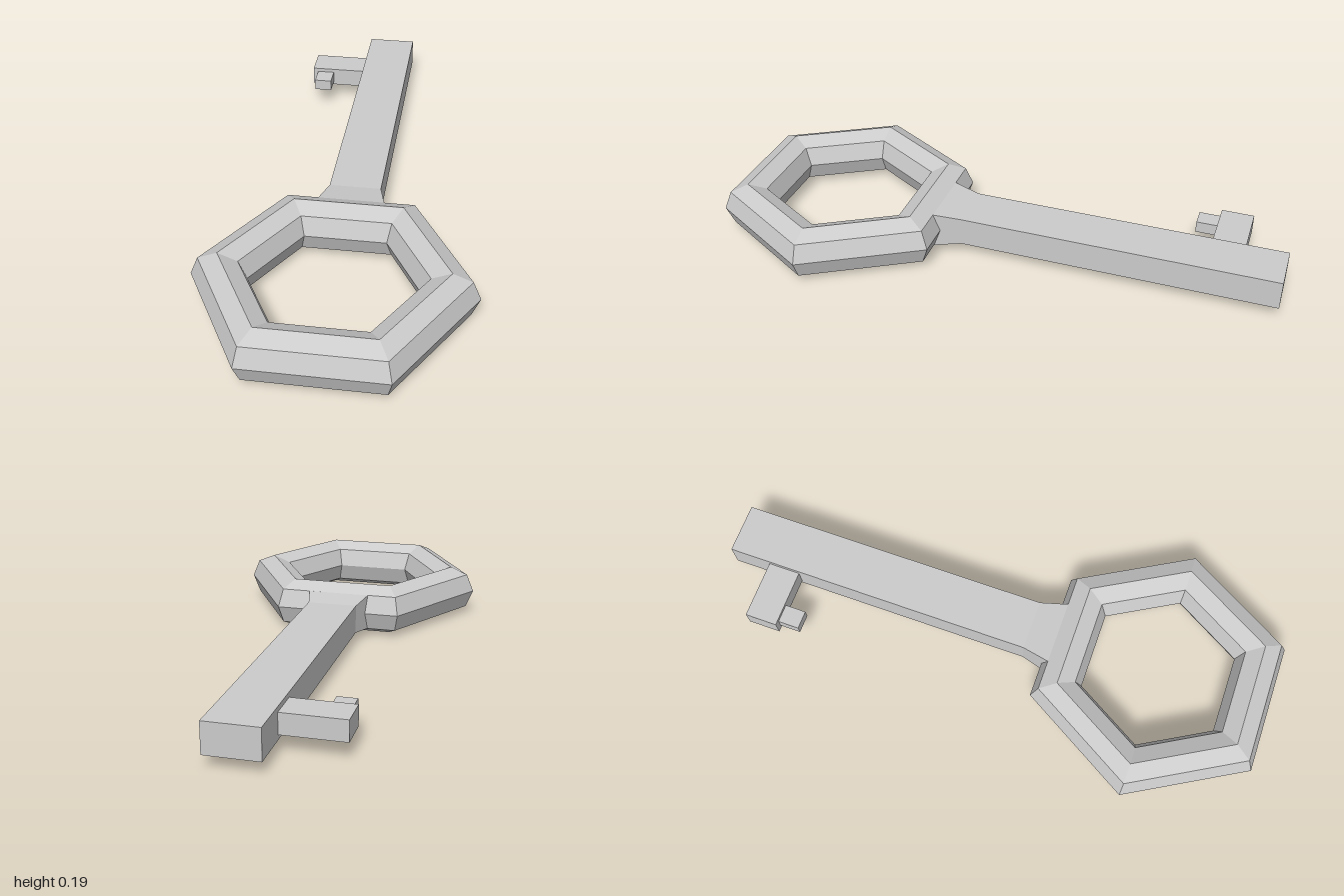
import * as THREE from 'three';

export function createModel() {
  const key = new THREE.Group();
  key.name = 'key';
  const material = new THREE.MeshStandardMaterial({ color: 0xcccccc, flatShading: true });
  const midY = 0.0925; // every part is centred on this height

  const add = (name, geometry, x, z) => {
    const mesh = new THREE.Mesh(geometry, material);
    mesh.name = name;
    mesh.position.set(x, midY, z);
    key.add(mesh);
    return mesh;
  };

  // Hexagonal bow with an octagonal cross-section
  const bow = new THREE.TorusGeometry(0.37, midY, 8, 6).rotateX(Math.PI / 2);
  add('bow', bow, 0, 0.6);

  // Shaft: a box whose last section flares out to meet the bow
  const shaft = new THREE.BoxGeometry(0.18, 0.104, 2, 1, 1, 2);
  const p = shaft.attributes.position;
  for (let i = 0; i < p.count; i++) {
    const z = p.getZ(i);
    if (z > 0.5) p.setXYZ(i, Math.sign(p.getX(i)) * 0.113, Math.sign(p.getY(i)) * 0.0654, 0.223);
    else if (z > -0.5) p.setZ(i, 0.125);
  }
  add('shaft', shaft, 0, 0);

  // Bit: a cross bar out of the shaft with a small tooth facing the bow
  add('bit', new THREE.BoxGeometry(0.24, 0.07, 0.116), -0.18, -0.794);
  add('tooth', new THREE.BoxGeometry(0.066, 0.042, 0.1), -0.248, -0.71);

  return key;
}
